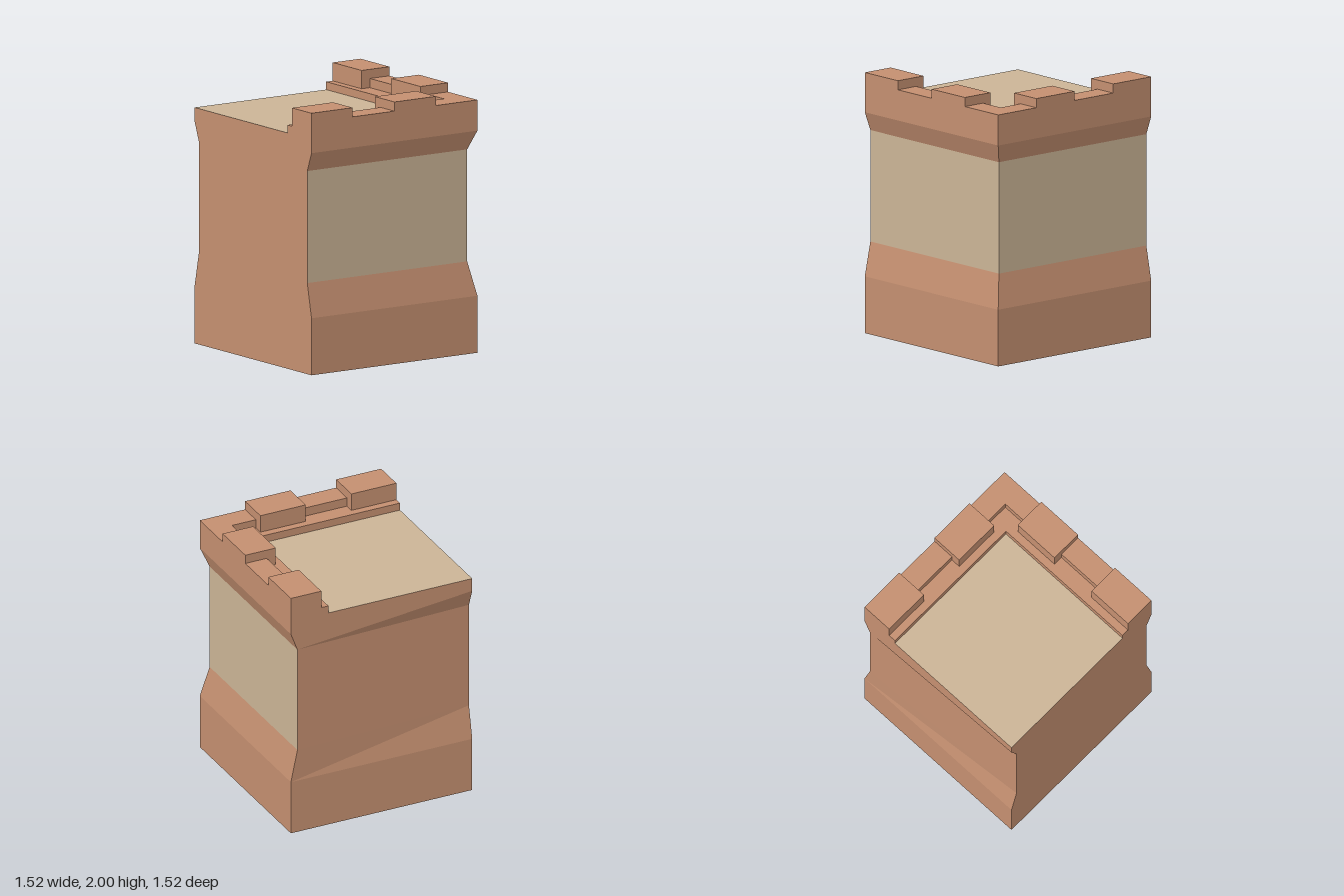
import * as THREE from 'three';

const brick = new THREE.MeshStandardMaterial({ color: 0xc48f70 });
brick.name = 'brick';
const plaster = new THREE.MeshStandardMaterial({ color: 0xcbb496 });
plaster.name = 'plaster';

const H = 0.76; // half width
const FLOOR = 1.8, LEDGE = 1.86, LOW = 1.93, TOP = 2;

// Corner block lofted through [height, reach] levels; the waist is plastered on the two outer sides
function makeBody() {
  const levels = [[0, H], [0.435, H], [0.695, 0.705], [1.55, 0.705], [1.695, H], [FLOOR, H]];
  const rings = levels.map(([y, r]) => [
    [-r, y, H], [r, y, H], [r, y, -r], [-H, y, -r],
  ]);
  const positions = [];
  const geometry = new THREE.BufferGeometry();
  const quad = (a, b, c, d, material) => {
    geometry.addGroup(positions.length / 3, 6, material);
    positions.push(...a, ...b, ...c, ...a, ...c, ...d);
  };
  for (let i = 0; i < rings.length - 1; i++) {
    for (let s = 0; s < 4; s++) {
      const n = (s + 1) % 4;
      const outer = s === 1 || s === 2;
      quad(rings[i][s], rings[i][n], rings[i + 1][n], rings[i + 1][s], i === 2 && outer ? 1 : 0);
    }
  }
  const [a, b, c, d] = rings[0];
  quad(d, c, b, a, 0); // underside
  const top = rings[rings.length - 1];
  quad(top[0], top[1], top[2], top[3], 1); // walkway floor
  geometry.setAttribute('position', new THREE.Float32BufferAttribute(positions, 3));
  geometry.computeVertexNormals();
  const mesh = new THREE.Mesh(geometry, [brick, plaster]);
  mesh.name = 'cornerWall';
  return mesh;
}

// L-shaped course along the back and right edges, its inner corner at x = inner, z = -inner
function makeCourse(name, inner, y0, y1) {
  const shape = new THREE.Shape([
    [-H, H], [-H, inner], [inner, inner], [inner, -H], [H, -H], [H, H],
  ].map(([x, y]) => new THREE.Vector2(x, y)));
  const geometry = new THREE.ExtrudeGeometry(shape, { depth: y1 - y0, bevelEnabled: false });
  geometry.rotateX(-Math.PI / 2).translate(0, y0, 0);
  const mesh = new THREE.Mesh(geometry, brick);
  mesh.name = name;
  return mesh;
}

function makeBox(name, x0, x1, y0, y1, z0, z1) {
  const mesh = new THREE.Mesh(new THREE.BoxGeometry(x1 - x0, y1 - y0, z1 - z0), brick);
  mesh.position.set((x0 + x1) / 2, (y0 + y1) / 2, (z0 + z1) / 2);
  mesh.name = name;
  return mesh;
}

export function createModel() {
  const group = new THREE.Group();
  group.name = 'castleWallCorner';
  group.add(makeBody());
  group.add(makeCourse('ledge', 0.445, FLOOR, LEDGE));
  group.add(makeCourse('parapet', 0.58, LEDGE, LOW));

  // Merlons: an upper block on the parapet plus a foot standing on the ledge
  const inner = 0.505, low = 0.58;
  for (const [from, to] of [[-H, -0.383], [0, 0.38]]) {
    group.add(makeBox('backMerlon', from, to, LOW, TOP, -H, -inner));
    group.add(makeBox('backMerlonFoot', from, to, LEDGE, LOW, -low, -inner));
    group.add(makeBox('rightMerlon', inner, H, LOW, TOP, -to, -from));
    group.add(makeBox('rightMerlonFoot', inner, low, LEDGE, LOW, -to, -from));
  }
  return group;
}
